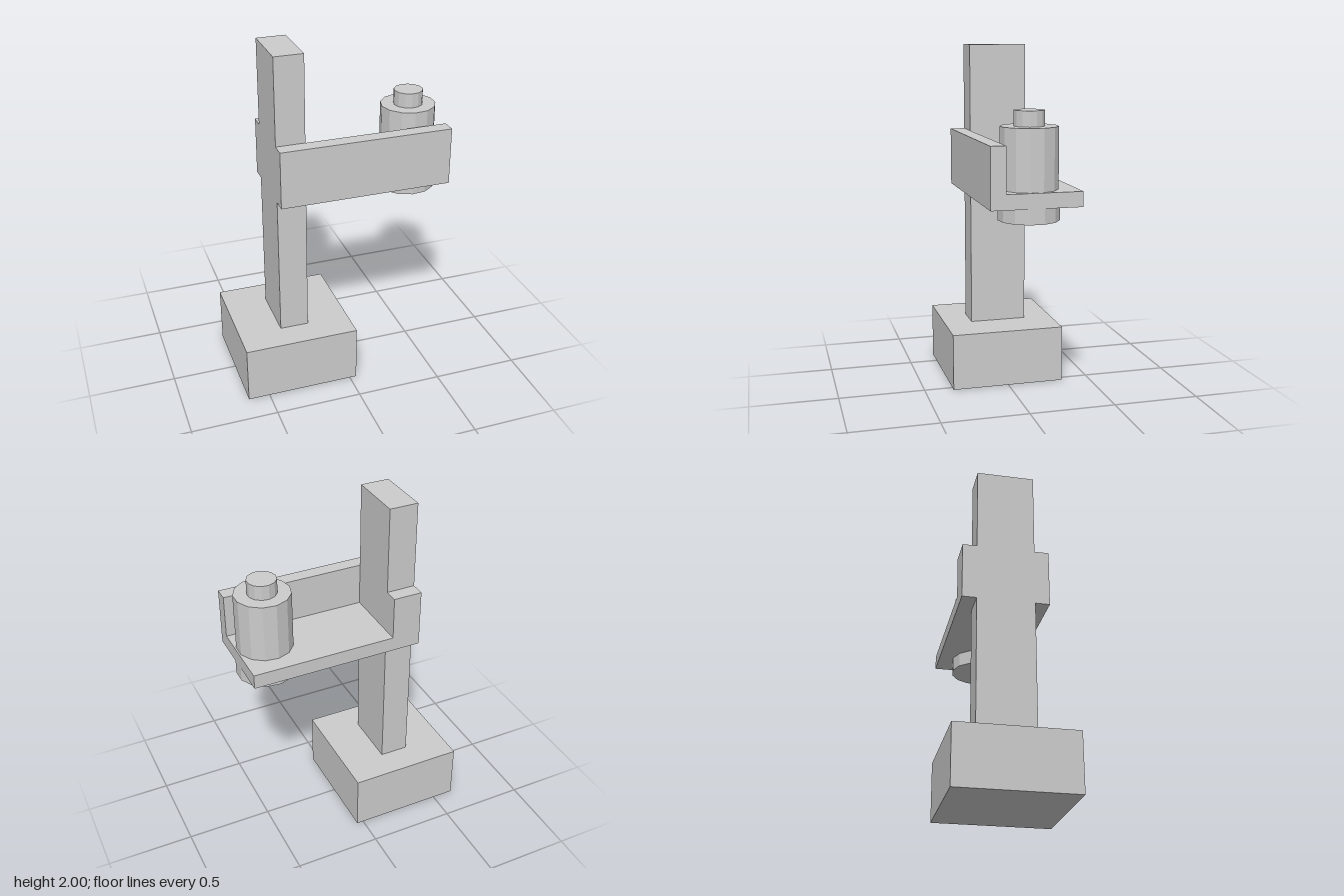
import * as THREE from 'three';

const material = new THREE.MeshStandardMaterial({ color: 0xcccccc, flatShading: true });

export function createModel() {
  const model = new THREE.Group();
  model.name = 'toolStand';

  const add = (name, geometry, x, y, z, parent = model) => {
    const mesh = new THREE.Mesh(geometry, material);
    mesh.name = name;
    mesh.position.set(x, y, z);
    parent.add(mesh);
  };
  // Box given by its extents along each axis
  const box = (name, [x0, x1], [y0, y1], [z0, z1], parent) =>
    add(name, new THREE.BoxGeometry(x1 - x0, y1 - y0, z1 - z0),
      (x0 + x1) / 2, (y0 + y1) / 2, (z0 + z1) / 2, parent);

  // Base block and upright post
  const postX = [-0.375, -0.208];
  box('base', [-0.625, 0.04], [0, 0.333], [-0.333, 0.333]);
  box('post', postX, [0.333, 2], [-0.167, 0.167]);

  // Bracket arm clasping the post: tall front wall, short rear cheek, floor plate
  const arm = new THREE.Group();
  arm.name = 'arm';
  model.add(arm);
  box('armFrontWall', [-0.375, 0.62], [1.167, 1.5], [0.167, 0.25], arm);
  box('armRearCheek', postX, [1.167, 1.5], [-0.25, -0.167], arm);
  box('armFloor', [-0.208, 0.62], [1.167, 1.25], [-0.25, 0.167], arm);

  // Thirteen-sided spindle stack at the end of the arm, one flat facing +x
  const spindle = new THREE.Group();
  spindle.name = 'spindle';
  spindle.position.x = 0.457;
  model.add(spindle);
  const drum = (name, radius, y0, y1) =>
    add(name, new THREE.CylinderGeometry(radius, radius, y1 - y0, 13, 1, false, -Math.PI / 2),
      0, (y0 + y1) / 2, 0, spindle);
  drum('lowerDisc', 0.167, 1.083, 1.167);
  drum('spindleBody', 0.158, 1.25, 1.583);
  drum('spindleCap', 0.083, 1.583, 1.667);

  return model;
}
